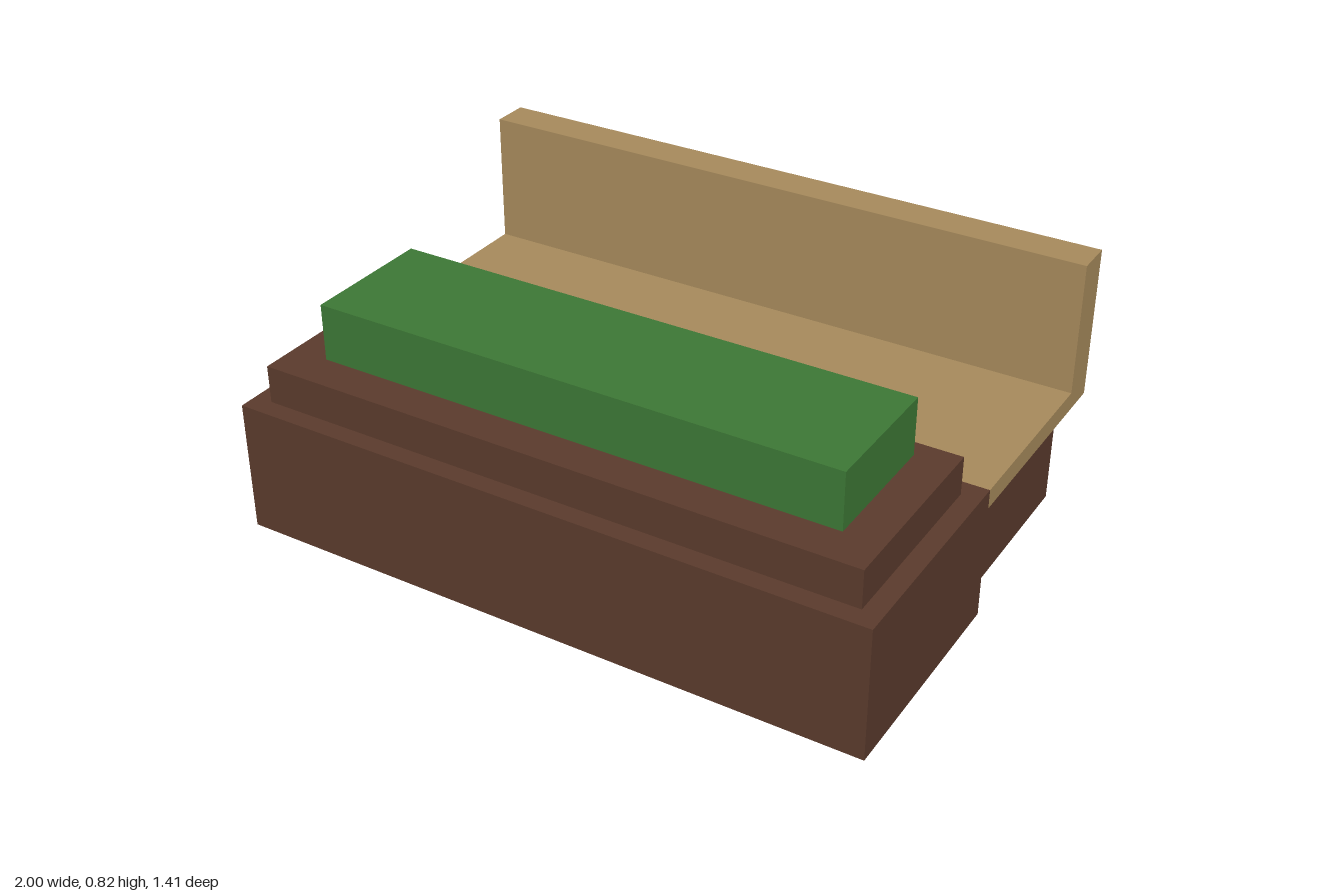
import * as THREE from 'three';

export function createModel() {
  const model = new THREE.Group();
  model.name = 'planterBench';

  const material = (name, color) => {
    const m = new THREE.MeshStandardMaterial({ color });
    m.name = name;
    return m;
  };
  const darkWood = material('dark wood', 0x5a3a2c);
  const lightWood = material('light wood', 0xa6895b);
  const leafGreen = material('leaf green', 0x3c7735);

  // All sizes are whole multiples of one module, 1/17 unit
  const U = 1 / 17;
  const block = (name, mat, [x0, x1], [y0, y1], [z0, z1]) => {
    const mesh = new THREE.Mesh(
      new THREE.BoxGeometry((x1 - x0) * U, (y1 - y0) * U, (z1 - z0) * U), mat);
    mesh.position.set((x0 + x1) * U / 2, (y0 + y1) * U / 2, (z0 + z1) * U / 2);
    mesh.name = name;
    model.add(mesh);
  };

  // Stepped planter with a clipped hedge
  block('planterBase', darkWood, [-17, 17], [0, 7], [0, 12]);
  block('planterRim', darkWood, [-16, 16], [7, 9], [1, 11]);
  block('hedge', leafGreen, [-14, 14], [9, 12], [2, 9]);

  // Bench behind it, facing the planter
  block('seat', lightWood, [-17, 17], [6, 7], [-10, 0]);
  block('backrest', lightWood, [-17, 17], [6, 14], [-12, -10]);
  block('leftLeg', darkWood, [13, 16], [0, 6], [-11, -1]);
  block('rightLeg', darkWood, [-16, -13], [0, 6], [-11, -1]);

  return model;
}
